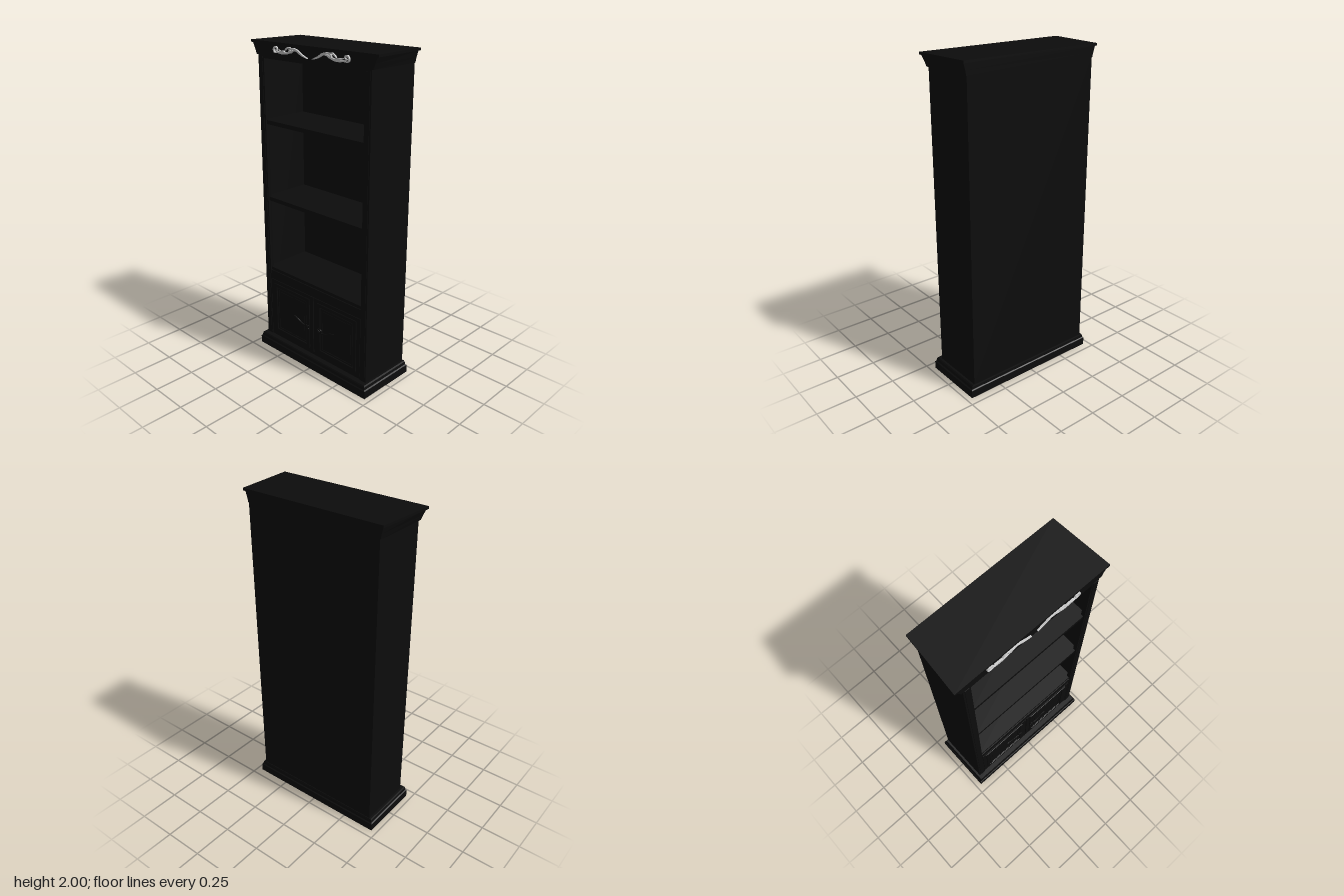
import * as THREE from 'three';

const black = new THREE.MeshStandardMaterial({ color: 0x0c0c0c });
const pale = new THREE.MeshStandardMaterial({ color: 0xcccccc });

function add(parent, name, geometry, material = black) {
  const mesh = new THREE.Mesh(geometry, material);
  mesh.name = name;
  parent.add(mesh);
  return mesh;
}

// Box given by its limits on each axis
function box(parent, name, x0, x1, y0, y1, z0, z1) {
  const mesh = add(parent, name, new THREE.BoxGeometry(x1 - x0, y1 - y0, z1 - z0));
  mesh.position.set((x0 + x1) / 2, (y0 + y1) / 2, (z0 + z1) / 2);
  return mesh;
}

// Moulding lofted through four-sided rings: [y, half width at back, half width at front, back z, front z]
function moulding(rings) {
  const pos = [];
  const corners = rings.map(([y, b, f, zb, zf]) => [[-f, y, zf], [f, y, zf], [b, y, zb], [-b, y, zb]]);
  const quad = (a, b, c, d) => pos.push(...a, ...b, ...c, ...a, ...c, ...d);
  for (let i = 0; i < corners.length - 1; i++) {
    for (let k = 0; k < 4; k++) {
      const n = (k + 1) % 4;
      quad(corners[i][k], corners[i][n], corners[i + 1][n], corners[i + 1][k]);
    }
  }
  const low = corners[0], top = corners[corners.length - 1];
  quad(top[0], top[1], top[2], top[3]);
  quad(low[3], low[2], low[1], low[0]);
  const g = new THREE.BufferGeometry();
  g.setAttribute('position', new THREE.Float32BufferAttribute(pos, 3));
  g.computeVertexNormals();
  return g;
}

// Rectangular frame with a bevelled edge
function frame(x0, x1, y0, y1, w, depth, bevel) {
  const rect = (P, a, b, c, d) => {
    const p = new P();
    p.moveTo(a, c); p.lineTo(b, c); p.lineTo(b, d); p.lineTo(a, d); p.closePath();
    return p;
  };
  const s = rect(THREE.Shape, x0, x1, y0, y1);
  s.holes.push(rect(THREE.Path, x0 + w, x1 - w, y0 + w, y1 - w));
  return new THREE.ExtrudeGeometry(s, {
    depth, bevelEnabled: bevel > 0, bevelThickness: bevel, bevelSize: bevel, bevelOffset: -bevel, bevelSegments: 2,
  });
}

// Carved strand: a ribbon along a curve, swelling in the middle and pointed at the ends
function strand(points, width, side, depth) {
  const curve = new THREE.SplineCurve(points.map(([x, y]) => new THREE.Vector2(x * side, y)));
  const left = [], right = [], n = 28;
  for (let i = 0; i <= n; i++) {
    const t = i / n, p = curve.getPoint(t), d = curve.getTangent(t);
    const w = width * (0.12 + 0.88 * Math.sin(Math.PI * t)) / 2;
    left.push(new THREE.Vector2(p.x - d.y * w, p.y + d.x * w));
    right.unshift(new THREE.Vector2(p.x + d.y * w, p.y - d.x * w));
  }
  return new THREE.ExtrudeGeometry(new THREE.Shape([...left, ...right]), {
    depth, bevelEnabled: true, bevelThickness: 0.002, bevelSize: 0.001, bevelSegments: 2,
  });
}

export function createModel() {
  const model = new THREE.Group();
  model.name = 'bookcase';

  // Plinth and crown
  add(model, 'plinth', moulding([
    [0, 0.465, 0.465, -0.2, 0.2], [0.05, 0.465, 0.465, -0.2, 0.2], [0.055, 0.458, 0.458, -0.194, 0.195],
    [0.072, 0.455, 0.455, -0.192, 0.192], [0.08, 0.45, 0.45, -0.19, 0.188],
  ]));
  add(model, 'crown', moulding([
    [1.92, 0.44, 0.448, -0.188, 0.163], [1.95, 0.446, 0.46, -0.189, 0.163], [1.985, 0.456, 0.477, -0.19, 0.164],
    [1.986, 0.463, 0.487, -0.2, 0.169], [2, 0.463, 0.487, -0.2, 0.169],
  ]));

  // Carcass
  box(model, 'backPanel', -0.437, 0.437, 0.08, 1.92, -0.187, -0.165);
  for (const s of [-1, 1]) {
    const span = (a, b) => (s > 0 ? [a, b] : [-b, -a]);
    box(model, 'sidePanel', ...span(0.41, 0.437), 0.08, 1.92, -0.165, 0.155);
    box(model, 'stile', ...span(0.39, 0.437), 0.08, 1.92, 0.135, 0.16);
    box(model, 'stileBead', ...span(0.4, 0.427), 0.09, 1.91, 0.16, 0.163);
  }
  box(model, 'header', -0.39, 0.39, 1.9, 1.925, 0.135, 0.16);
  box(model, 'cabinetFloor', -0.41, 0.41, 0.08, 0.1, -0.165, 0.155);
  box(model, 'cabinetRail', -0.39, 0.39, 0.49, 0.55, 0.135, 0.158);

  // Shelves; the lowest is the top of the cabinet
  for (const y of [0.57, 1.05, 1.535]) box(model, 'shelf', -0.41, 0.41, y - 0.025, y, -0.165, 0.152);

  for (const s of [-1, 1]) {
    const span = (a, b) => (s > 0 ? [a, b] : [-b, -a]);

    // Door with stepped frames and a raised panel
    const door = new THREE.Group();
    door.name = s > 0 ? 'leftDoor' : 'rightDoor';
    model.add(door);
    box(door, 'doorBoard', ...span(0.004, 0.387), 0.1, 0.488, 0.135, 0.157);
    add(door, 'outerFrame', frame(...span(0.004, 0.387), 0.1, 0.488, 0.028, 0.003, 0)).position.z = 0.157;
    add(door, 'frameMoulding', frame(...span(0.034, 0.358), 0.115, 0.465, 0.024, 0.003, 0.003)).position.z = 0.158;
    add(door, 'innerMoulding', frame(...span(0.062, 0.33), 0.14, 0.438, 0.012, 0.001, 0.002)).position.z = 0.157;
    box(door, 'raisedPanel', ...span(0.082, 0.31), 0.16, 0.418, 0.155, 0.159);

    // Knob with a scrolled pull
    const profile = [[0, 0], [0.012, 0], [0.006, 0.004], [0.006, 0.009], [0.011, 0.012], [0.009, 0.016], [0, 0.018]];
    const knob = add(door, 'knob', new THREE.LatheGeometry(profile.map((p) => new THREE.Vector2(...p)), 20));
    knob.rotation.x = Math.PI / 2;
    knob.position.set(s * 0.05, 0.27, 0.157);
    for (const path of [
      [[0.04, 0.28], [0.075, 0.265], [0.11, 0.272], [0.145, 0.29], [0.172, 0.3]],
      [[0.042, 0.25], [0.06, 0.262], [0.066, 0.28], [0.05, 0.292]],
    ]) add(door, 'pullScroll', strand(path, 0.01, s, 0.003)).position.z = 0.161;

    // Pale carved scrollwork on the crown
    const carving = new THREE.Group();
    carving.name = 'scrollwork';
    model.add(carving);
    const strands = [
      [[[0.02, 1.933], [0.06, 1.946], [0.1, 1.967], [0.135, 1.974], [0.165, 1.968]], 0.011],
      [[[0.1, 1.966], [0.14, 1.962], [0.175, 1.948], [0.215, 1.943], [0.255, 1.947], [0.28, 1.957]], 0.011],
      [[[0.25, 1.944], [0.28, 1.943], [0.291, 1.958], [0.28, 1.973], [0.264, 1.97], [0.263, 1.959], [0.272, 1.957]], 0.009],
      [[[0.13, 1.964], [0.148, 1.953], [0.16, 1.957], [0.157, 1.969], [0.148, 1.965]], 0.008],
      [[[0.19, 1.946], [0.21, 1.953], [0.232, 1.953], [0.248, 1.96]], 0.009],
      [[[0.14, 1.974], [0.165, 1.978], [0.185, 1.97], [0.2, 1.958]], 0.007],
    ];
    for (const [path, width] of strands) add(carving, 'scroll', strand(path, width, s, 0.008), pale).position.z = 0.163;
  }
  return model;
}
